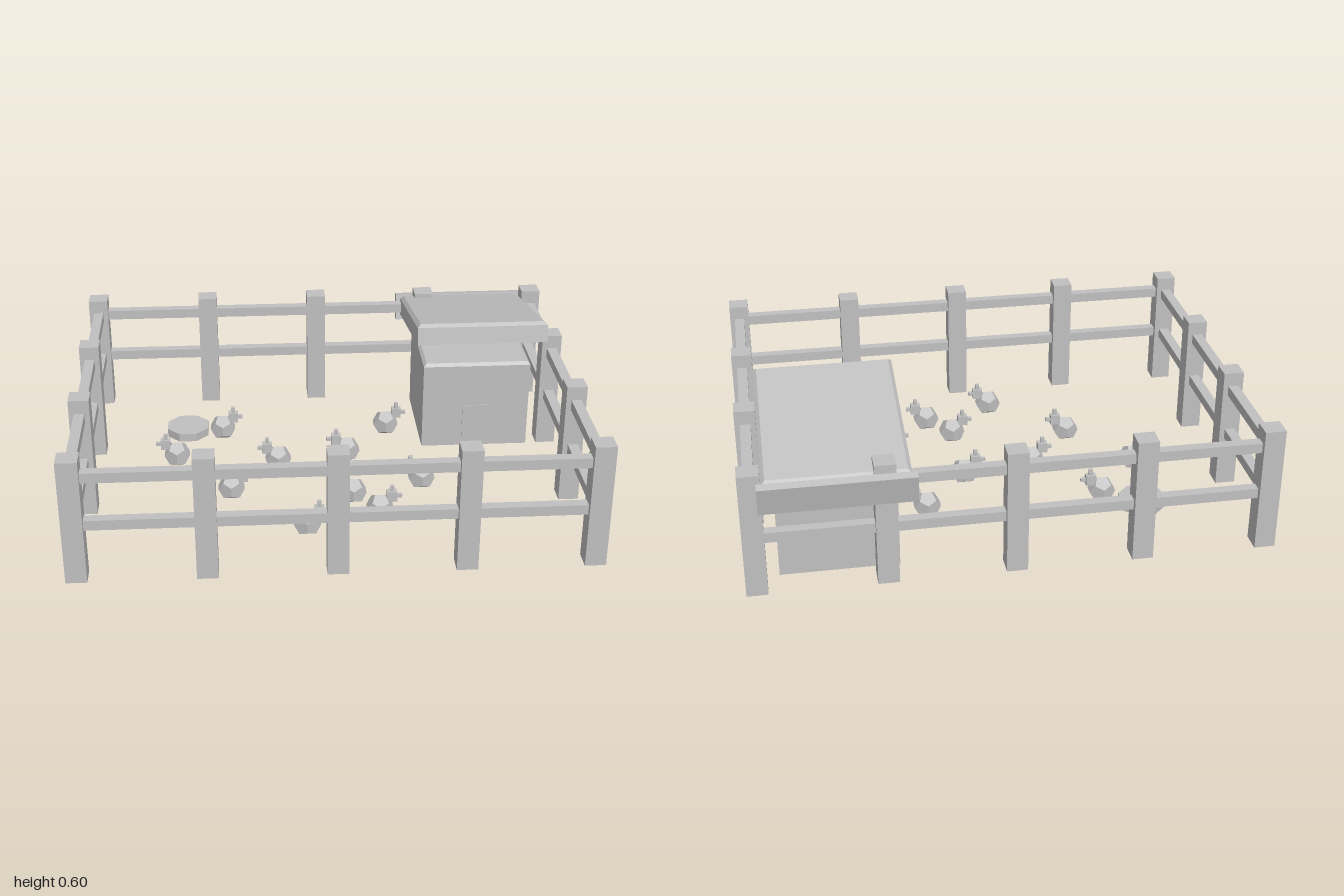
import * as THREE from 'three';

const grey = new THREE.MeshStandardMaterial({ color: 0xc0c0c0 });
grey.name = 'plain grey';

function add(parent, name, geometry, x, y, z) {
  const mesh = new THREE.Mesh(geometry, grey);
  mesh.name = name;
  mesh.position.set(x, y, z);
  parent.add(mesh);
  return mesh;
}

function box(parent, name, w, h, d, x, y, z) {
  return add(parent, name, new THREE.BoxGeometry(w, h, d), x, y, z);
}

// Box whose top edges are cut off by c
function chamferedBox(w, h, d, c) {
  const base = new THREE.BoxGeometry(w, h, d, 1, 2, 1);
  const p = base.attributes.position;
  for (let i = 0; i < p.count; i++) {
    const y = p.getY(i);
    if (Math.abs(y) < 1e-6) p.setY(i, h / 2 - c);
    else if (y > 0) {
      p.setX(i, p.getX(i) - Math.sign(p.getX(i)) * c);
      p.setZ(i, p.getZ(i) - Math.sign(p.getZ(i)) * c);
    }
  }
  const flat = base.toNonIndexed();
  flat.computeVertexNormals();
  return flat;
}

function createFence() {
  const fence = new THREE.Group();
  fence.name = 'fence';
  const front = 0.75, back = -0.71, side = 0.96;
  const post = (x, z) => box(fence, 'fencePost', 0.08, 0.5, 0.08, x, 0.25, z);
  for (const z of [front, back]) {
    for (let i = -2; i <= 2; i++) post(i * 0.48, z);
  }
  for (const x of [-side, side]) {
    for (let i = 1; i <= 2; i++) post(x, back + (front - back) * i / 3);
  }
  // Two rails on every side
  for (const y of [0.23, 0.425]) {
    for (const z of [front, back]) box(fence, 'longRail', side * 2, 0.04, 0.04, 0, y, z);
    for (const x of [-side, side]) {
      box(fence, 'sideRail', 0.04, 0.04, front - back, x, y, (front + back) / 2);
    }
  }
  return fence;
}

function createCoop() {
  const coop = new THREE.Group();
  coop.name = 'coop';
  add(coop, 'coopWalls', chamferedBox(0.45, 0.384, 0.45, 0.012), 0.65, 0.192, -0.405);
  box(coop, 'coopDoor', 0.11, 0.15, 0.006, 0.65, 0.115, -0.179);
  // Roof slab and back board share one slope
  const slope = -0.211;
  add(coop, 'coopRoof', chamferedBox(0.535, 0.085, 0.66, 0.014), 0.65, 0.493, -0.412).rotation.x = slope;
  box(coop, 'roofBackBoard', 0.57, 0.115, 0.034, 0.65, 0.408, -0.757).rotation.x = slope;
  return coop;
}

// Small faceted hen looking along +x
function createHen() {
  const hen = new THREE.Group();
  hen.name = 'hen';
  add(hen, 'henBody', new THREE.DodecahedronGeometry(0.056), 0, 0.051, 0);
  box(hen, 'henHead', 0.04, 0.042, 0.03, 0.046, 0.1, 0);
  box(hen, 'henBeak', 0.022, 0.014, 0.014, 0.075, 0.1, 0);
  box(hen, 'henComb', 0.016, 0.028, 0.014, 0.046, 0.131, 0);
  return hen;
}

export function createModel() {
  const model = new THREE.Group();
  model.name = 'chickenPen';
  model.add(createFence(), createCoop());

  // Octagonal feeding dish
  const dish = new THREE.CylinderGeometry(0.094, 0.094, 0.036, 8).toNonIndexed();
  dish.computeVertexNormals();
  add(model, 'feedingDish', dish, -0.577, 0.018, -0.368).rotation.y = Math.PI / 8;

  // Hens: x, z, facing
  const hens = [
    [-0.425, -0.31, 1], [0.28, -0.31, 1], [-0.615, -0.08, -1], [-0.195, -0.02, -1],
    [0.095, -0.08, -1], [-0.39, 0.21, 1], [0.095, 0.27, -1], [0.38, 0.17, -1],
    [0.19, 0.4, 1], [-0.1, 0.5, 1],
  ];
  for (const [x, z, facing] of hens) {
    const hen = createHen();
    hen.position.set(x, 0, z);
    if (facing < 0) hen.rotation.y = Math.PI;
    model.add(hen);
  }
  return model;
}
